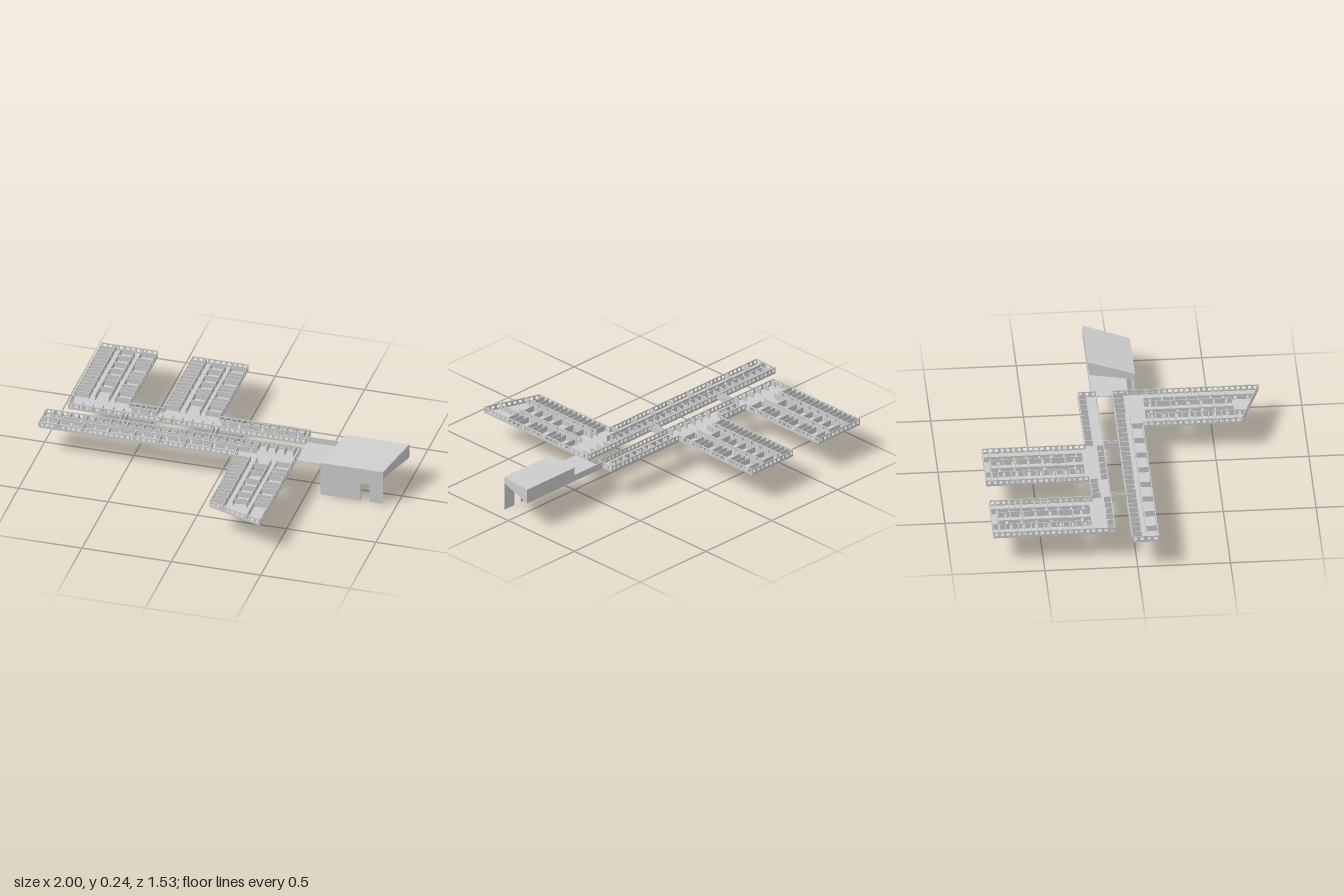
import * as THREE from 'three';
import { mergeGeometries } from 'three/addons/utils/BufferGeometryUtils.js';

const Y0 = 0.158, FLOOR = 0.004, H = 0.037, T = 0.004;
const material = new THREE.MeshStandardMaterial({ color: 0xcccccc, flatShading: true, side: THREE.DoubleSide });

function rectPath(target, x0, y0, x1, y1) {
  target.moveTo(x0, y0);
  target.lineTo(x1, y0);
  target.lineTo(x1, y1);
  target.lineTo(x0, y1);
  target.closePath();
  return target;
}

// Upright wall between two plan points, with optional rows of windows or doors
function wall(x1, z1, x2, z2, kind = 'plain') {
  const length = Math.hypot(x2 - x1, z2 - z1);
  const shape = rectPath(new THREE.Shape(), 0, 0, length, H);
  const pitch = kind === 'door' ? 0.065 : 0.03;
  const count = kind === 'plain' ? 0 : Math.floor(length / pitch);
  const half = kind === 'door' ? 0.006 : 0.009;
  for (let i = 0; i < count; i++) {
    const c = (i + 0.5) * length / count;
    const low = kind === 'door' ? 0.005 : 0.013;
    shape.holes.push(rectPath(new THREE.Path(), c - half, low, c + half, 0.03));
  }
  const g = new THREE.ExtrudeGeometry(shape, { depth: T, bevelEnabled: false });
  g.translate(0, 0, -T / 2);
  g.rotateY(-Math.atan2(z2 - z1, x2 - x1));
  return g.translate(x1, Y0, z1);
}

// Floor slab from plan points, with optional rectangular courtyard
function slab(points, court) {
  const shape = new THREE.Shape(points.map(([x, z]) => new THREE.Vector2(x, -z)));
  if (court) shape.holes.push(rectPath(new THREE.Path(), court[0], -court[3], court[1], -court[2]));
  const g = new THREE.ExtrudeGeometry(shape, { depth: FLOOR, bevelEnabled: false });
  return g.rotateX(-Math.PI / 2).translate(0, Y0, 0);
}

const rect = (x0, x1, z0, z1) => [[x0, z0], [x1, z0], [x1, z1], [x0, z1]];

function part(name, geometries) {
  const mesh = new THREE.Mesh(mergeGeometries(geometries), material);
  mesh.name = name;
  return mesh;
}

// Wing: rooms on both sides of two corridors and a central core with a courtyard
function wing(name, x0, x1, zJoin, zEndLeft, zEndRight, court) {
  const dir = Math.sign(zEndLeft - zJoin);
  const zShort = dir * Math.min(Math.abs(zEndLeft), Math.abs(zEndRight));
  const group = new THREE.Group();
  group.name = name;
  const a = x0 + T / 2, b = x1 - T / 2, inset = dir * T / 2;
  const endAt = x => zEndLeft + (zEndRight - zEndLeft) * (x - x0) / (x1 - x0) - inset;
  group.add(part('wingFloor', [slab([[x0, zJoin], [x1, zJoin], [x1, zEndRight], [x0, zEndLeft]], court)]));
  group.add(part('wingOuterWalls', [
    wall(a, zJoin, a, zEndLeft - inset, 'window'),
    wall(b, zJoin, b, zEndRight - inset, 'window'),
    wall(a, zEndLeft - inset, b, zEndRight - inset, 'window'),
  ]));
  const [cx0, cx1, cz0, cz1] = court;
  group.add(part('courtyardWalls', [
    wall(cx0, cz0, cx1, cz0), wall(cx1, cz0, cx1, cz1),
    wall(cx1, cz1, cx0, cz1), wall(cx0, cz1, cx0, cz0),
  ]));
  const inner = [];
  const roomL = x0 + 0.08, roomR = x1 - 0.085;
  for (const x of [roomL, roomR]) inner.push(wall(x, zJoin + dir * 0.02, x, endAt(x), 'door'));
  // Core walls stop at the courtyard and carry on past it
  const nearEdge = dir > 0 ? cz0 : cz1, farEdge = dir > 0 ? cz1 : cz0;
  for (const x of [cx0, cx1]) {
    inner.push(wall(x, zJoin + dir * 0.02, x, nearEdge, 'door'));
    inner.push(wall(x, farEdge, x, zShort - dir * 0.04, 'door'));
  }
  // Cross partitions between rooms
  const n = Math.floor(Math.abs(zShort - zJoin) / 0.034);
  for (let i = 1; i < n; i++) {
    const z = zJoin + (zShort - zJoin) * i / n;
    inner.push(wall(a, z, roomL, z));
    if (i % 4 !== 2) inner.push(wall(roomR, z, b, z));
    const pastCourt = (z - farEdge) * dir > 0.02;
    if (pastCourt && i % 2) inner.push(wall(cx0, z, cx1, z));
  }
  group.add(part('wingPartitions', inner));
  return group;
}

// Long bar: outline floor, windowed walls, corridor walls and cross partitions
function bar(name, x0, x1, z0, z1, outer, corridorZ, partitions) {
  const group = new THREE.Group();
  group.name = name;
  group.add(part('barFloor', [slab(rect(x0, x1, z0, z1))]));
  group.add(part('barOuterWalls', outer.map(w => wall(...w, 'window'))));
  const inner = corridorZ.map(([z, xa, xb]) => wall(xa, z, xb, z, 'door'));
  for (const [xa, xb, count, za, zb] of partitions) {
    for (let i = 0; i < count; i++) {
      const x = xa + (xb - xa) * i / (count - 1);
      inner.push(wall(x, za, x, zb));
    }
  }
  group.add(part('barPartitions', inner));
  return group;
}

// Wedge-roofed hall on a skewed plan
function hall() {
  const g = new THREE.BoxGeometry(1, 1, 1);
  const p = g.attributes.position;
  for (let i = 0; i < p.count; i++) {
    const front = p.getZ(i) > 0, right = p.getX(i) > 0, top = p.getY(i) > 0;
    const x = front ? (right ? 0.925 : 0.575) : (right ? 1 : 0.64);
    const y = top ? (front ? 0.198 : 0.241) : Y0;
    p.setXYZ(i, x, y, front ? 0.105 : -0.142);
  }
  g.computeVertexNormals();
  const mesh = new THREE.Mesh(g, material);
  mesh.name = 'hall';
  return mesh;
}

// Tall entrance wall with a doorway reaching the ground
function entranceWall() {
  const outline = [[0.575, 0], [0.8, 0], [0.8, 0.108], [0.85, 0.108], [0.85, 0], [0.925, 0], [0.925, 0.198], [0.575, 0.198]];
  const shape = new THREE.Shape(outline.map(([x, y]) => new THREE.Vector2(x, y)));
  const g = new THREE.ExtrudeGeometry(shape, { depth: 0.003, bevelEnabled: false });
  return part('entranceWall', [g.translate(0, 0, 0.104)]);
}

export function createModel() {
  const model = new THREE.Group();
  model.name = 'buildingComplex';

  // Two rear wings and the skew-ended front wing
  model.add(wing('rearWingRight', -0.903, -0.588, -0.215, -0.77, -0.77, [-0.785, -0.708, -0.408, -0.33]));
  model.add(wing('rearWingCentre', -0.396, -0.082, -0.215, -0.77, -0.77, [-0.277, -0.2, -0.408, -0.33]));
  model.add(wing('frontWing', 0.112, 0.427, 0.115, 0.65, 0.76, [0.23, 0.308, 0.2, 0.276]));

  // Rear and front bars
  model.add(bar('rearBar', -0.903, 0.427, -0.215, -0.112,
    [[-0.903, -0.114, 0.427, -0.114], [-0.901, -0.215, -0.901, -0.112], [0.425, -0.215, 0.425, -0.112],
      [-0.588, -0.213, -0.396, -0.213], [-0.082, -0.213, 0.427, -0.213]],
    [[-0.17, -0.56, -0.42], [-0.17, -0.06, 0.4]],
    [[-0.88, -0.6, 6, -0.15, -0.114], [-0.56, -0.42, 4, -0.213, -0.17],
      [-0.38, -0.1, 6, -0.15, -0.114], [-0.05, 0.4, 10, -0.213, -0.17]]));
  model.add(bar('frontBar', -1, 0.427, -0.03, 0.115,
    [[-1, -0.028, 0.427, -0.028], [-0.998, -0.03, -0.998, 0.115], [0.425, -0.03, 0.425, 0.115],
      [-1, 0.113, 0.112, 0.113]],
    [[0.025, -0.96, 0.2], [0.052, -1, 0.2]],
    [[-0.95, 0.2, 26, -0.028, 0.025], [0.25, 0.4, 4, -0.028, 0.03], [-0.9, 0.1, 8, 0.052, 0.113]]));

  // Narrow bridges between the bars
  for (const x of [-0.577, -0.069]) {
    model.add(part('bridge', [
      slab(rect(x - 0.013, x + 0.013, -0.112, -0.03)),
      wall(x - 0.011, -0.112, x - 0.011, -0.03),
      wall(x + 0.011, -0.112, x + 0.011, -0.03),
    ]));
  }

  // Open link to the hall
  model.add(part('link', [
    slab([[0.427, -0.142], [0.64, -0.142], [0.587, 0.06], [0.427, 0.06]]),
    wall(0.427, -0.14, 0.64, -0.14),
  ]));
  model.add(hall(), entranceWall());
  return model;
}
